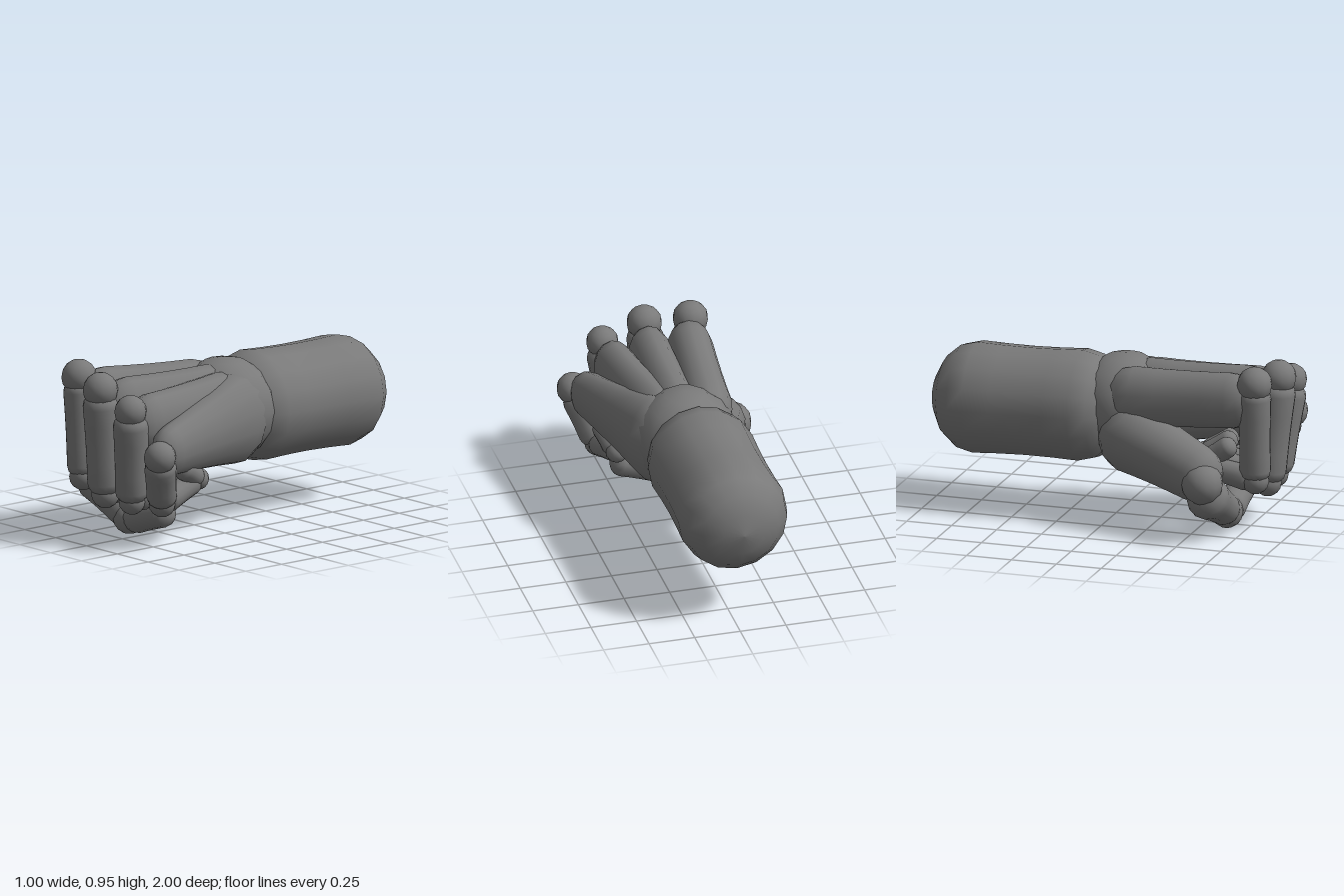
import * as THREE from 'three';

const V = (p) => new THREE.Vector3(...p);
const material = new THREE.MeshStandardMaterial({ color: 0x7a7a7a });

// Rounded, slightly waisted segment from tip a to tip b; depth stretches it towards the "up" side
function segment(name, a, b, r0, r1, depth = 1, cap = 0.8, sides = 14) {
  const start = V(a), dir = V(b).sub(start), len = dir.length();
  dir.normalize();
  const pts = [];
  const add = (r, y) => pts.push(new THREE.Vector2(r, y));
  const c0 = Math.min(r0 * cap, len * 0.4), c1 = Math.min(r1 * cap, len * 0.4);
  for (let i = 0; i <= 4; i++) {
    const t = (i / 4) * Math.PI / 2;
    add(r0 * Math.sin(t), c0 * (1 - Math.cos(t)));
  }
  for (const t of [0.25, 0.5, 0.75]) {
    add((r0 + (r1 - r0) * t) * (1 - 0.03 * Math.sin(Math.PI * t)), c0 + (len - c0 - c1) * t);
  }
  for (let i = 4; i >= 0; i--) {
    const t = (i / 4) * Math.PI / 2;
    add(r1 * Math.sin(t), len - c1 * (1 - Math.cos(t)));
  }
  const geo = new THREE.LatheGeometry(pts, sides);
  geo.scale(1, 1, depth);
  const up = Math.abs(dir.y) > 0.9 ? V([0, 0, 1]) : V([0, 1, 0]);
  const side = new THREE.Vector3().crossVectors(dir, up).normalize();
  const front = new THREE.Vector3().crossVectors(side, dir);
  geo.applyMatrix4(new THREE.Matrix4().makeBasis(side, dir, front).setPosition(start));
  const mesh = new THREE.Mesh(geo, material);
  mesh.name = name;
  return mesh;
}

function joint(name, p, r) {
  const mesh = new THREE.Mesh(new THREE.SphereGeometry(r, 12, 8), material);
  mesh.name = name;
  mesh.position.set(...p);
  return mesh;
}

// Point on the line a-b at distance d from a
function toward(a, b, d) {
  const s = V(a);
  return s.add(V(b).sub(s).setLength(d)).toArray();
}

// Palm bone [start, end, radii, depth], joint centres, fingertip, joint radii and finger width
const fingers = [
  { name: 'index', palm: [[-0.12, 0.68, -0.02], [-0.215, 0.76, 0.88], 0.135, 0.122, 1.25],
    knuckle: [-0.235, 0.857, 0.85], middle: [-0.208, 0.322, 0.845], last: [-0.17, 0.37, 0.53],
    tip: [-0.19, 0.51, 0.72], r: [0.095, 0.075, 0.06], w: 0.088 },
  { name: 'middle', palm: [[0.03, 0.68, 0.02], [0.01, 0.725, 0.9], 0.125, 0.115, 1.45],
    knuckle: [0.003, 0.835, 0.905], middle: [-0.02, 0.26, 0.85], last: [-0.01, 0.37, 0.49],
    tip: [-0.01, 0.49, 0.67], r: [0.095, 0.077, 0.058], w: 0.1 },
  { name: 'ring', palm: [[0.1, 0.66, 0.02], [0.225, 0.665, 0.89], 0.125, 0.11, 1.48],
    knuckle: [0.235, 0.757, 0.895], middle: [0.172, 0.25, 0.83], last: [0.14, 0.345, 0.45],
    tip: [0.13, 0.46, 0.63], r: [0.087, 0.072, 0.056], w: 0.096 },
  { name: 'little', palm: [[0.09, 0.605, -0.1], [0.39, 0.53, 0.84], 0.165, 0.092, 1.5],
    knuckle: [0.412, 0.53, 0.842], middle: [0.305, 0.245, 0.735], last: [0.275, 0.335, 0.46],
    tip: [0.33, 0.43, 0.63], r: [0.087, 0.072, 0.06], w: 0.086 },
];

function buildFinger(f) {
  const g = new THREE.Group();
  g.name = f.name + 'Finger';
  const [start, end, r0, r1, depth] = f.palm;
  g.add(
    segment('palmBone', start, end, r0, r1, depth, 1.4),
    joint('knuckle', f.knuckle, f.r[0]),
    segment('firstSegment', toward(f.knuckle, f.middle, 0.01), toward(f.middle, f.knuckle, -0.01), f.w, f.w * 0.95),
    joint('middleJoint', f.middle, f.r[1]),
    segment('secondSegment', f.middle, toward(f.last, f.middle, 0.01), f.w * 0.8, f.w * 0.72),
    joint('lastJoint', f.last, f.r[2]),
    segment('fingertip', f.last, f.tip, f.r[2], f.r[2] * 0.95),
  );
  return g;
}

export function createModel() {
  const model = new THREE.Group();
  model.name = 'fist';

  // Forearm and wrist
  model.add(segment('forearm', [-0.025, 0.575, -1], [-0.015, 0.592, 0.06], 0.297, 0.297, 1.01, 0.8, 16));
  model.add(joint('wrist', [0.015, 0.61, 0.05], 0.28));

  // Four curled fingers
  for (const f of fingers) model.add(buildFinger(f));

  // Thumb folded across beneath the fingers
  const thumb = new THREE.Group();
  thumb.name = 'thumb';
  thumb.add(
    segment('thumbPalmBone', [-0.09, 0.53, -0.02], [-0.365, 0.325, 0.68], 0.18, 0.138, 1.12, 1),
    joint('thumbKnuckle', [-0.39, 0.33, 0.61], 0.112),
    segment('thumbFirstSegment', [-0.42, 0.285, 0.62], [-0.05, 0.085, 0.64], 0.118, 0.09),
    joint('thumbJoint', [-0.07, 0.092, 0.64], 0.089),
    segment('thumbTip', [-0.07, 0.085, 0.64], [0.26, 0.177, 0.64], 0.085, 0.076),
  );
  model.add(thumb);
  return model;
}
